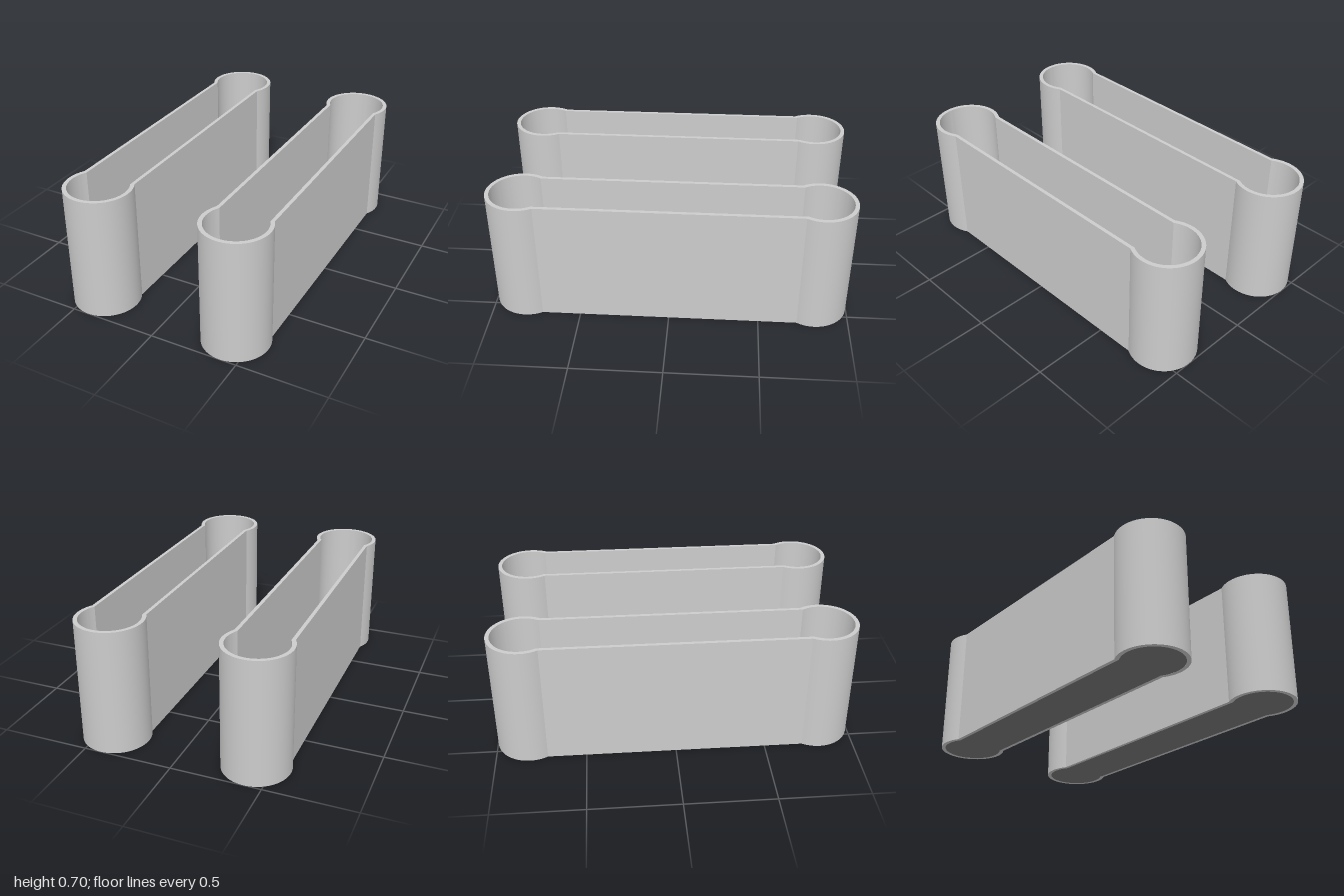
import * as THREE from 'three';
import { toCreasedNormals } from 'three/addons/utils/BufferGeometryUtils.js';

const HEIGHT = 0.705;
const END_Z = 0.8125; // centre of each round end
const ROW_X = 0.405; // centre line of each housing

const grey = new THREE.MeshStandardMaterial({ color: 0xcccccc });
const dark = new THREE.MeshStandardMaterial({ color: 0x777777 });

// Dumbbell outline: two round ends joined by a slightly narrower straight
function outline(path, radius, halfWidth) {
  const a = Math.acos(halfWidth / radius);
  path.absarc(0, END_Z, radius, -a, Math.PI + a, false);
  path.absarc(0, -END_Z, radius, Math.PI - a, 2 * Math.PI + a, false);
  path.closePath();
  return path;
}

function addMesh(parent, name, geometry, material, y = 0, z = 0) {
  const mesh = new THREE.Mesh(geometry, material);
  mesh.name = name;
  mesh.position.set(0, y, z);
  parent.add(mesh);
}

function createHousing() {
  const housing = new THREE.Group();

  // Tall thin wall, open at the top
  const shape = outline(new THREE.Shape(), 0.1875, 0.16);
  shape.holes.push(outline(new THREE.Path(), 0.165, 0.14));
  const wall = new THREE.ExtrudeGeometry(shape, { depth: HEIGHT, bevelEnabled: false, curveSegments: 36 });
  wall.rotateX(-Math.PI / 2);
  addMesh(housing, 'outerWall', toCreasedNormals(wall, 0.35), grey);

  // Dark base with a paler strip along the channel
  addMesh(housing, 'channelBase', new THREE.BoxGeometry(0.28, 0.03, 2 * END_Z), dark, 0.015);
  addMesh(housing, 'channelStrip', new THREE.BoxGeometry(0.22, 0.01, 2 * END_Z), grey, 0.034);

  // Round base and paler bevelled disc at each end
  for (const side of [-1, 1]) {
    addMesh(housing, 'endBase', new THREE.CylinderGeometry(0.165, 0.165, 0.042, 64), dark, 0.021, side * END_Z);
    addMesh(housing, 'endDisc', new THREE.CylinderGeometry(0.13, 0.14, 0.01, 64), grey, 0.046, side * END_Z);
  }
  return housing;
}

export function createModel() {
  const model = new THREE.Group();
  for (const [name, x] of [['rightHousing', -ROW_X], ['leftHousing', ROW_X]]) {
    const housing = createHousing();
    housing.name = name;
    housing.position.x = x;
    model.add(housing);
  }
  return model;
}
